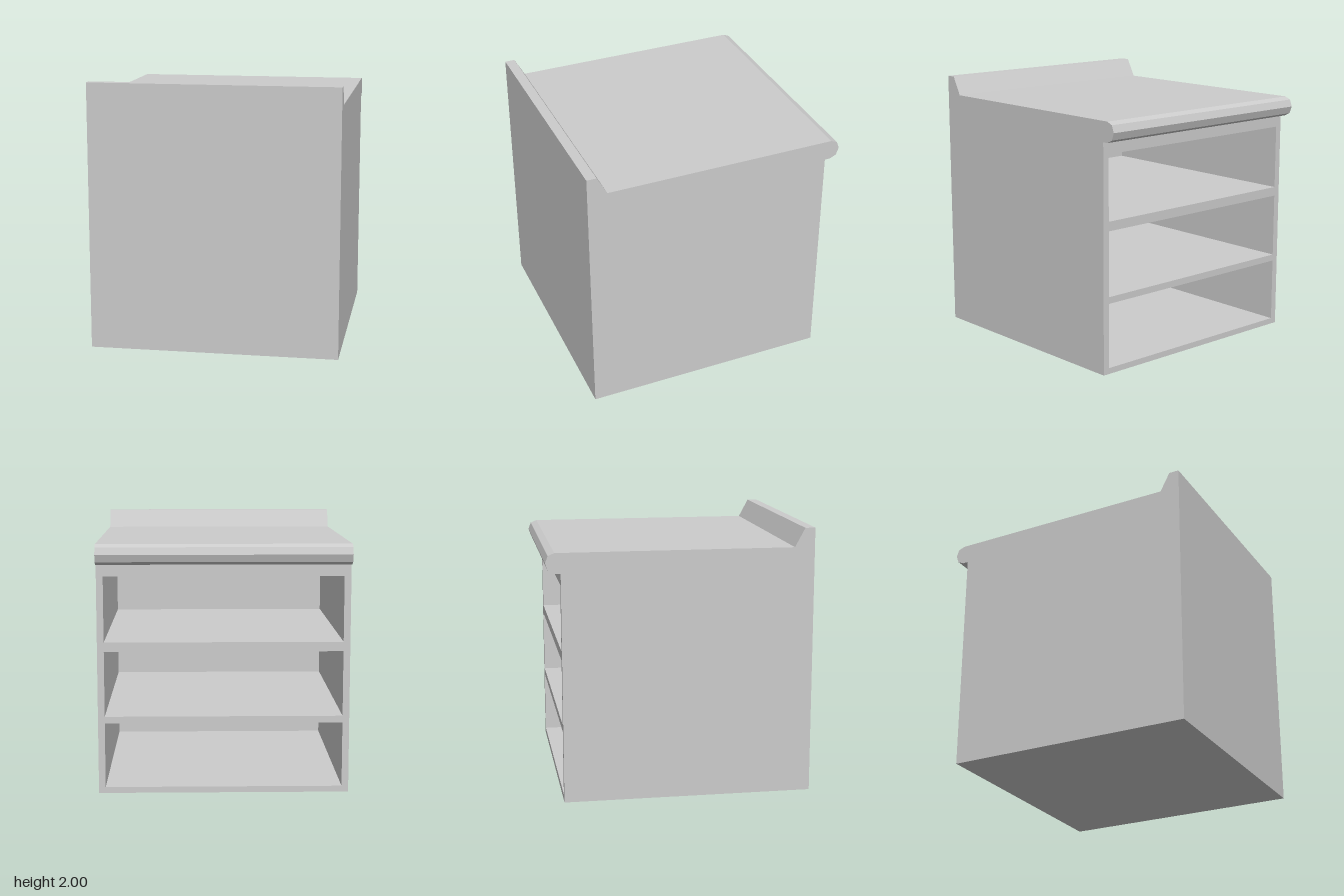
import * as THREE from 'three';

const W = 1.86, FRONT = 0.985, BACK = -0.875, TOP = 1.71, WALL = 0.05;

export function createModel() {
  const group = new THREE.Group();
  const material = new THREE.MeshStandardMaterial({ color: 0xcccccc, flatShading: true });
  const add = (name, geometry) => {
    const mesh = new THREE.Mesh(geometry, material);
    mesh.name = name;
    group.add(mesh);
    return mesh;
  };

  // Cabinet carcass: a rectangle with three shelf openings, extruded in depth
  const frame = new THREE.Shape();
  frame.moveTo(-W / 2, 0).lineTo(W / 2, 0).lineTo(W / 2, TOP).lineTo(-W / 2, TOP).closePath();
  const hx = W / 2 - WALL;
  for (const [y0, y1] of [[0.045, 0.53], [0.58, 1.065], [1.135, 1.62]]) {
    const hole = new THREE.Path();
    hole.moveTo(-hx, y0).lineTo(-hx, y1).lineTo(hx, y1).lineTo(hx, y0).closePath();
    frame.holes.push(hole);
  }
  const depth = FRONT - WALL - BACK;
  add('shelfCarcass', new THREE.ExtrudeGeometry(frame, { depth, bevelEnabled: false }))
    .position.z = BACK;

  // Closed panel on the customer side
  add('frontPanel', new THREE.BoxGeometry(W, TOP, WALL)).position.set(0, TOP / 2, FRONT - WALL / 2);

  // Worktop: raised lip in front and rounded nosing behind, as [z, y] profile
  const profile = [
    [FRONT, TOP], [FRONT, 2], [0.91, 2], [0.835, 1.86],
    [-0.918, 1.86], [-0.965, 1.84], [-0.985, 1.787], [-0.965, 1.733], [-0.918, 1.71],
  ];
  const shape = new THREE.Shape(profile.map(([z, y]) => new THREE.Vector2(-z, y)));
  const worktop = new THREE.ExtrudeGeometry(shape, { depth: W, bevelEnabled: false });
  worktop.rotateY(Math.PI / 2).translate(-W / 2, 0, 0);
  add('worktop', worktop);

  return group;
}
